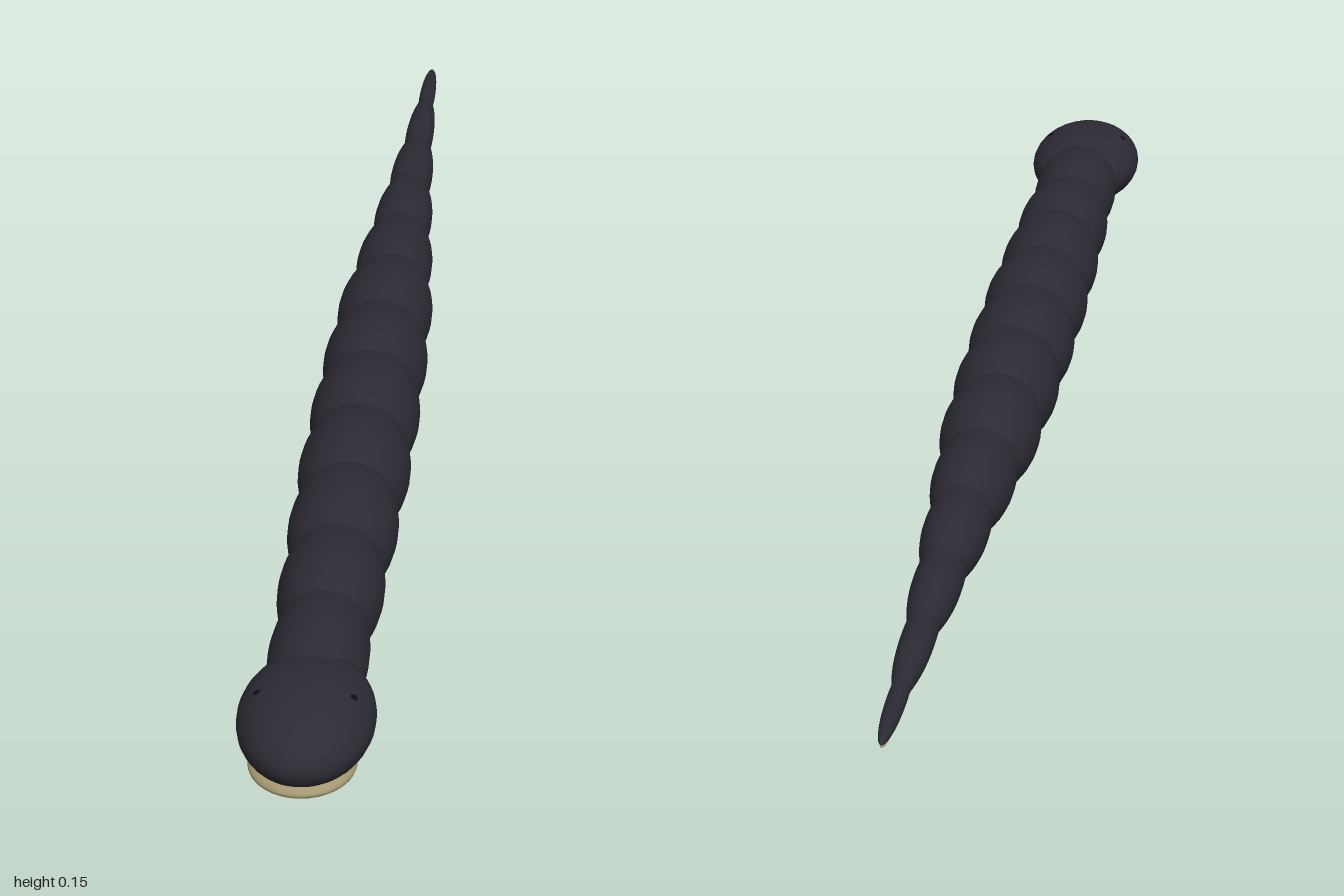
import * as THREE from 'three';

const AXIS_Y = 0.077;

export function createModel() {
  const model = new THREE.Group();
  model.name = 'snake';

  const scales = new THREE.MeshStandardMaterial({ name: 'charcoal scales', color: 0x2c2b34 });
  const cream = new THREE.MeshStandardMaterial({ name: 'cream belly', color: 0xa39770 });
  const black = new THREE.MeshStandardMaterial({ name: 'black eye', color: 0x0c0c0e });

  // Unit sphere with its poles along the body, stretched into each part
  const ball = new THREE.SphereGeometry(1, 32, 24).rotateX(Math.PI / 2);

  function ellipsoid(name, material, position, radii) {
    const mesh = new THREE.Mesh(ball, material);
    mesh.name = name;
    mesh.position.set(...position);
    mesh.scale.set(...radii);
    model.add(mesh);
    return mesh;
  }

  // Overlapping body segments, from neck to tail tip, each with a belly plate
  const radii = [0.061, 0.066, 0.07, 0.073, 0.073, 0.071, 0.066, 0.054, 0.042, 0.031, 0.021, 0.012];
  radii.forEach((r, i) => {
    const z = 0.745 - i * 0.149;
    const length = i === radii.length - 1 ? 0.106 : 0.14;
    ellipsoid('bodySegment' + (i + 1), scales, [0, AXIS_Y, z], [r, r, length]);
    ellipsoid('bellySegment' + (i + 1), cream,
      [0, AXIS_Y - 0.42 * r, z], [0.76 * r, 0.61 * r, length * 0.98]);
  });

  // Flattened head with a pale lower jaw
  ellipsoid('head', scales, [0, 0.08, 0.88], [0.082, 0.054, 0.12]);
  ellipsoid('lowerJaw', cream, [0, 0.048, 0.925], [0.064, 0.016, 0.07]);

  // Small eyes on the upper sides of the head
  for (const side of [-1, 1]) {
    ellipsoid(side > 0 ? 'leftEye' : 'rightEye', black,
      [side * 0.055, 0.115, 0.89], [0.006, 0.006, 0.006]);
  }

  return model;
}
